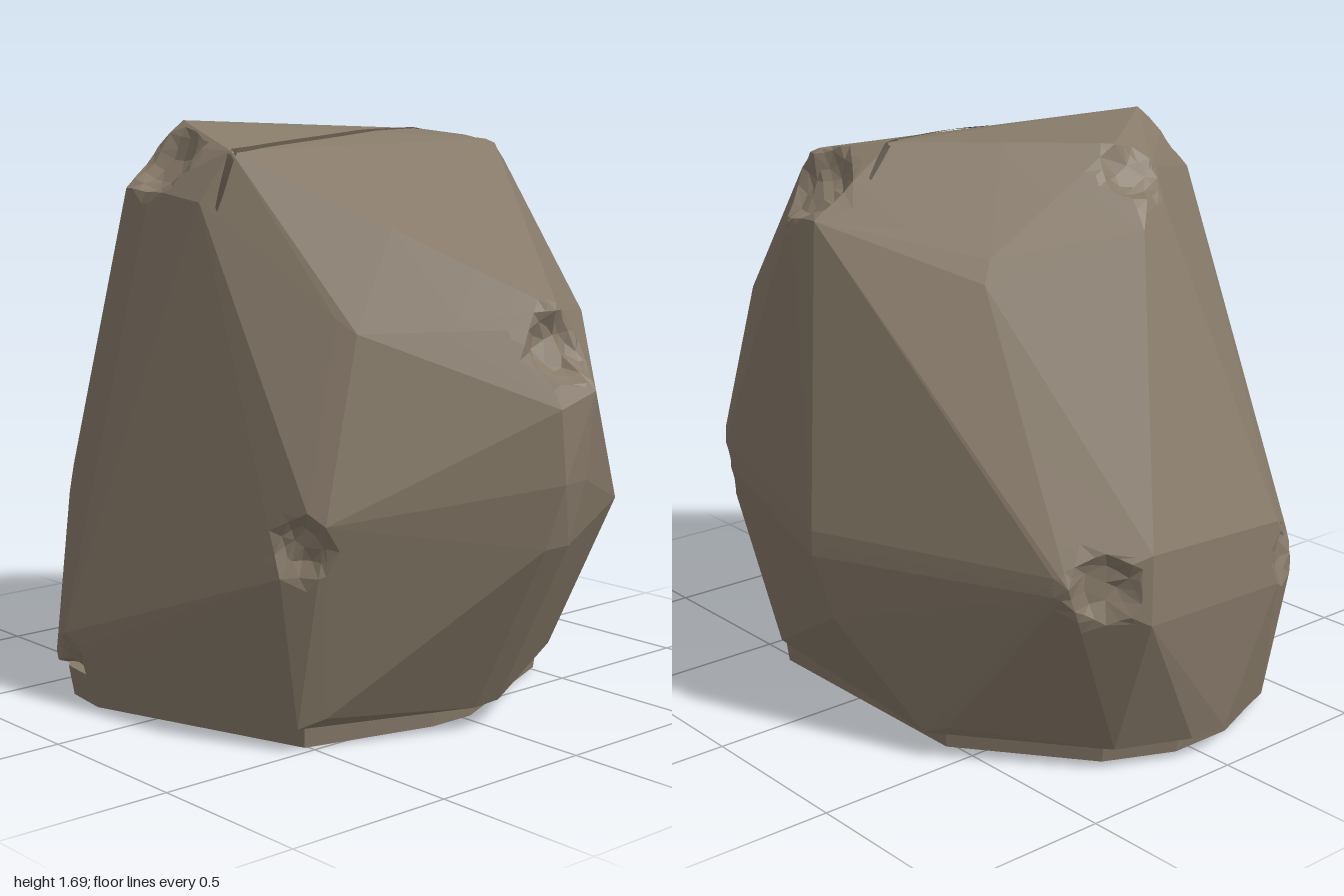
import * as THREE from 'three';
import { ConvexGeometry } from 'three/addons/geometries/ConvexGeometry.js';

const V = (x, y, z) => new THREE.Vector3(x, y, z);
const points = (list) => list.map((p) => V(...p));

// Directions used to chip a sharp corner into small facets
const t = 1.618, len = Math.hypot(1, t);
const facetDirs = [];
for (const a of [-1, 1]) for (const b of [-t, t]) {
  facetDirs.push(V(0, a, b), V(a, b, 0), V(b, 0, a));
}
facetDirs.forEach((d) => d.divideScalar(len));

// Chamfered corner whose outermost facet touches the given point
function corner([x, y, z, r]) {
  const tip = V(x, y, z);
  const inward = V(x, y - 0.8, z).normalize();
  const centre = tip.clone().addScaledVector(inward, -r * 0.95);
  return facetDirs.map((d) => centre.clone().addScaledVector(d, r));
}

// Worn notches broken out of the corners: centre, radius, depth
const notches = [
  [-0.12, 1.59, 0.53, 0.12, 0.05], [-0.57, 1.61, 0.03, 0.1, 0.04], [0.05, 1.57, -0.62, 0.13, 0.06],
  [0.94, 1.11, 0, 0.11, 0.06], [-0.94, 0.6, -0.42, 0.1, 0.045], [-0.95, 0.54, 0.27, 0.09, 0.035],
  [0.57, 0.58, 0.61, 0.09, 0.035], [0.6, 0.6, -0.58, 0.1, 0.04], [-0.32, 0.09, 0.76, 0.11, 0.04],
];

// Splits faces near the notches and pushes their vertices inward
function carve(geometry) {
  const p = geometry.attributes.position;
  const out = [];
  const nearNotch = (a, b) => {
    const line = new THREE.Line3(a, b), c = V(0, 0, 0);
    return notches.some(([x, y, z, r]) => {
      const n = V(x, y, z);
      return line.closestPointToPoint(n, true, c).distanceTo(n) < r;
    });
  };
  const push = (v) => {
    const w = v.clone();
    for (const [x, y, z, r, depth] of notches) {
      const k = 1 - v.distanceTo(V(x, y, z)) / r;
      if (k > 0) w.addScaledVector(V(x, y - 0.8, z).normalize(), -depth * Math.min(1, k * 2));
    }
    return w;
  };
  const split = (a, b, c) => {
    const sides = [[a, b, c], [b, c, a], [c, a, b]]
      .filter(([u, v]) => u.distanceTo(v) > 0.06 && nearNotch(u, v))
      .sort((s, q) => q[0].distanceTo(q[1]) - s[0].distanceTo(s[1]));
    if (!sides.length) {
      for (const v of [a, b, c]) out.push(...push(v).toArray());
      return;
    }
    const [u, v, w] = sides[0];
    const m = u.clone().add(v).multiplyScalar(0.5);
    split(u, m, w);
    split(m, v, w);
  };
  for (let i = 0; i < p.count; i += 3) {
    split(...[0, 1, 2].map((j) => V(0, 0, 0).fromBufferAttribute(p, i + j)));
  }
  const carved = new THREE.BufferGeometry();
  carved.setAttribute('position', new THREE.Float32BufferAttribute(out, 3));
  carved.computeVertexNormals();
  return carved;
}

export function createModel() {
  const group = new THREE.Group();
  const stone = new THREE.MeshStandardMaterial({ color: 0x877a69 });
  stone.name = 'warm grey stone';
  const dark = new THREE.MeshStandardMaterial({ color: 0x5a5044, side: THREE.DoubleSide });
  dark.name = 'dark crevice';

  const add = (name, geometry, material = stone) => {
    const mesh = new THREE.Mesh(geometry, material);
    mesh.name = name;
    group.add(mesh);
    return mesh;
  };

  // Main corners of the boulder, with chamfer size
  const corners = [
    [-0.92, 0.5, 0.32, 0.05],    // left front
    [0.62, 0.64, 0.58, 0.06],    // right front
    [0.59, 0.64, -0.59, 0.06],   // right back
    [-0.16, 0.58, -0.78, 0.07],  // back
    [-0.88, 0.6, -0.49, 0.05],   // left back
    [-0.43, 1.37, -0.41, 0.07],  // left shoulder
    [0.57, 1.17, 0.42, 0.07],    // right shoulders
    [0.57, 1.17, -0.46, 0.07],
    [-0.3, 0.16, 0.775, 0.05],   // front foot
  ];
  // Crest of the roof
  const crest = [
    [-0.18, 1.69, 0.41], [-0.2, 1.62, 0.49], [0.14, 1.61, 0.49], [-0.1, 1.5, 0.59],
    [0.1, 1.47, 0.57], [-0.22, 1.5, 0.585], [-0.08, 1.66, -0.43], [0.12, 1.63, -0.56],
    [0.05, 1.47, -0.68], [-0.06, 1.47, -0.68],
    [-0.49, 1.66, 0.02], [-0.57, 1.6, 0.08], [-0.66, 1.45, -0.03],
  ];
  // Flanks and lower rim
  const flank = [
    [0.9, 1.2, -0.01], [0.87, 1.15, 0.07], [0.87, 1.15, -0.08],
    [1, 0.99, -0.05], [0.99, 0.95, 0.07], [1, 0.75, 0.06], [0.98, 0.75, -0.04],
    [0.95, 0.57, 0.08], [0.95, 0.57, -0.01], [0.71, 0.6, -0.48], [0.51, 0.5, 0.63],
    [-0.99, 0.69, -0.3], [-1, 0.5, -0.31], [-0.97, 0.66, 0.2], [-0.98, 0.48, 0.2],
    [0.68, 0.07, 0.06], [0.67, 0.07, -0.04],
    [0.5, 0.07, 0.56], [0.55, 0.1, 0.5], [0.37, 0.07, -0.54], [0.44, 0.1, -0.5],
    [-0.22, 0.07, 0.755], [-0.41, 0.09, 0.735], [-0.41, 0.07, -0.6], [-0.48, 0.1, -0.57],
    [-0.93, 0.07, 0.06], [-0.92, 0.07, -0.06], [-0.83, 0.07, -0.27], [-0.85, 0.07, 0.3],
    [-0.19, 0.38, -0.74],
  ];
  const body = add('boulderBody', carve(new ConvexGeometry([
    ...corners.flatMap(corner), ...points(crest), ...points(flank),
  ])));

  // Slightly inset foot the boulder stands on
  const foot = [
    [-0.2, 0.73], [-0.35, 0.71], [0.47, 0.51], [0.57, 0.12], [0.57, -0.03],
    [0.36, -0.52], [-0.41, -0.52], [-0.76, -0.25], [-0.85, -0.05], [-0.85, 0.15], [-0.76, 0.38],
  ];
  add('boulderFoot', new ConvexGeometry(foot.flatMap(([x, z]) => [
    V(x, 0, z), V(x * 1.02, 0.09, z * 1.02),
  ])));

  // Crevice running over the crest, laid onto the surface below it
  group.updateMatrixWorld(true);
  const ray = new THREE.Raycaster();
  const heightAt = (x, z) => {
    ray.set(V(x, 3, z), V(0, -1, 0));
    const hit = ray.intersectObject(body)[0];
    return (hit ? hit.point.y : 1.4) + 0.004;
  };
  const path = new THREE.CatmullRomCurve3([
    V(-0.1, 0, -0.52), V(-0.04, 0, -0.3), V(0.04, 0, 0.02), V(0.1, 0, 0.28), V(0.14, 0, 0.45), V(0.15, 0, 0.55),
  ]);
  const steps = 28, pos = [], index = [];
  for (let i = 0; i <= steps; i++) {
    const p = path.getPoint(i / steps);
    const w = 0.004 + 0.011 * Math.sin((Math.PI * i) / steps) ** 0.5;
    for (const s of [-1, 1]) pos.push(p.x + s * w, heightAt(p.x + s * w, p.z), p.z);
    if (i < steps) {
      const k = i * 2;
      index.push(k, k + 2, k + 1, k + 1, k + 2, k + 3);
    }
  }
  const strip = new THREE.BufferGeometry();
  strip.setAttribute('position', new THREE.Float32BufferAttribute(pos, 3));
  strip.setIndex(index);
  strip.computeVertexNormals();
  add('crevice', strip, dark);

  return group;
}
